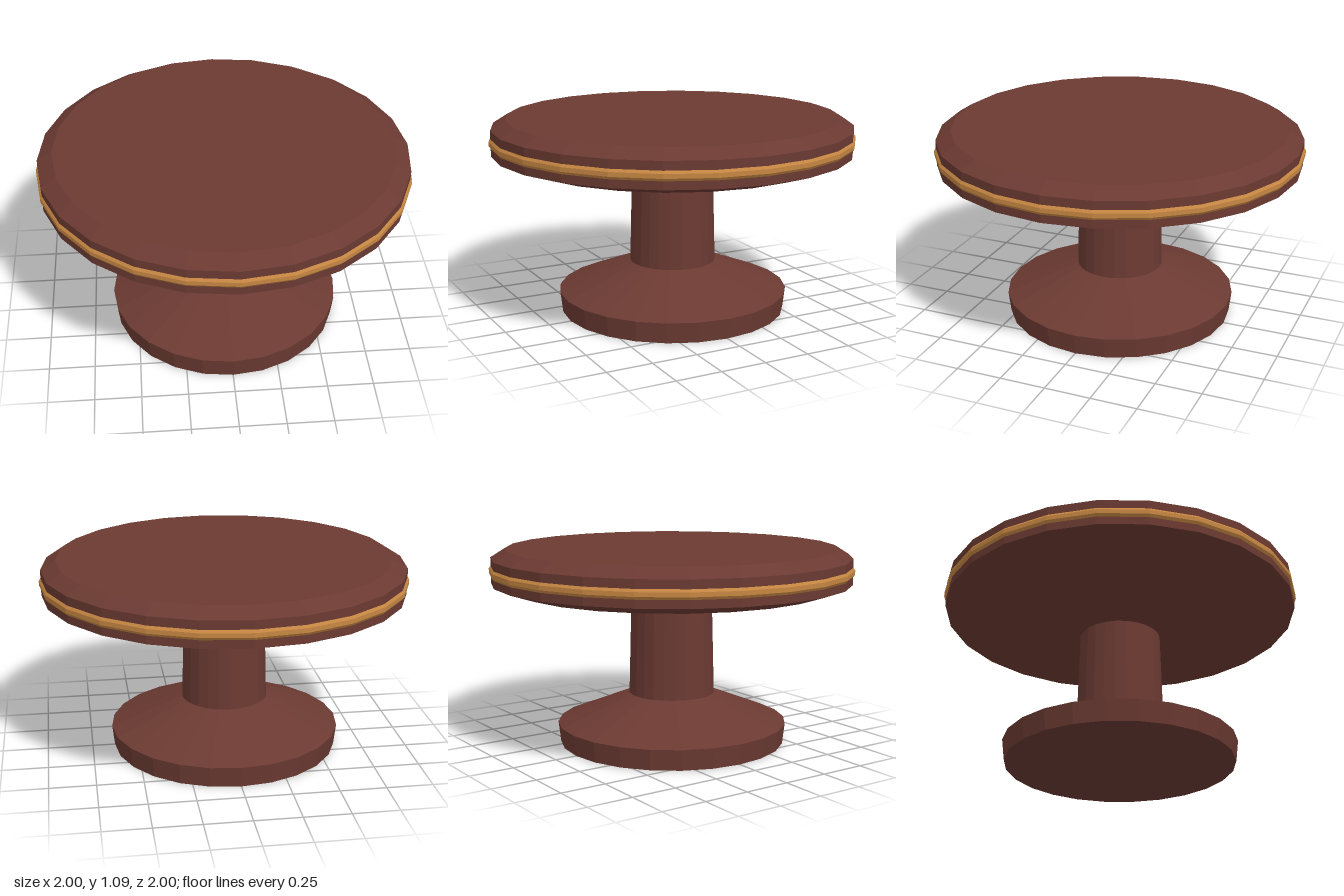
import * as THREE from 'three';

const SIDES = 24;

export function createModel() {
  const model = new THREE.Group();
  model.name = 'pedestalTable';

  const wood = new THREE.MeshStandardMaterial({ color: 0x6b3a32, flatShading: true });
  wood.name = 'dark wood';
  const brass = new THREE.MeshStandardMaterial({ color: 0xc68642, flatShading: true });
  brass.name = 'brass';

  // Turned part from [radius, height] points, listed from bottom to top
  const turned = (name, points, material) => {
    const profile = points.map(([r, y]) => new THREE.Vector2(r, y));
    const mesh = new THREE.Mesh(new THREE.LatheGeometry(profile, SIDES), material);
    mesh.name = name;
    model.add(mesh);
  };

  // Foot with a sloping upper face
  turned('foot', [[0, 0], [0.625, 0], [0.638, 0.113], [0.24, 0.275], [0, 0.275]], wood);

  // Slightly tapered column
  turned('column', [[0.238, 0.275], [0.225, 0.76]], wood);

  // Table top with a conical underside and bevelled upper edge
  turned('tableTop', [
    [0, 0.76], [0.225, 0.76], [0.85, 0.855], [0.99, 0.9],
    [0.99, 1.04], [0.91, 1.09], [0, 1.09],
  ], wood);

  // Brass band around the rim
  turned('rimBand', [
    [0.98, 0.94], [0.99, 0.943], [1, 0.957], [1, 0.98], [0.99, 0.994], [0.98, 0.996],
  ], brass);

  return model;
}
